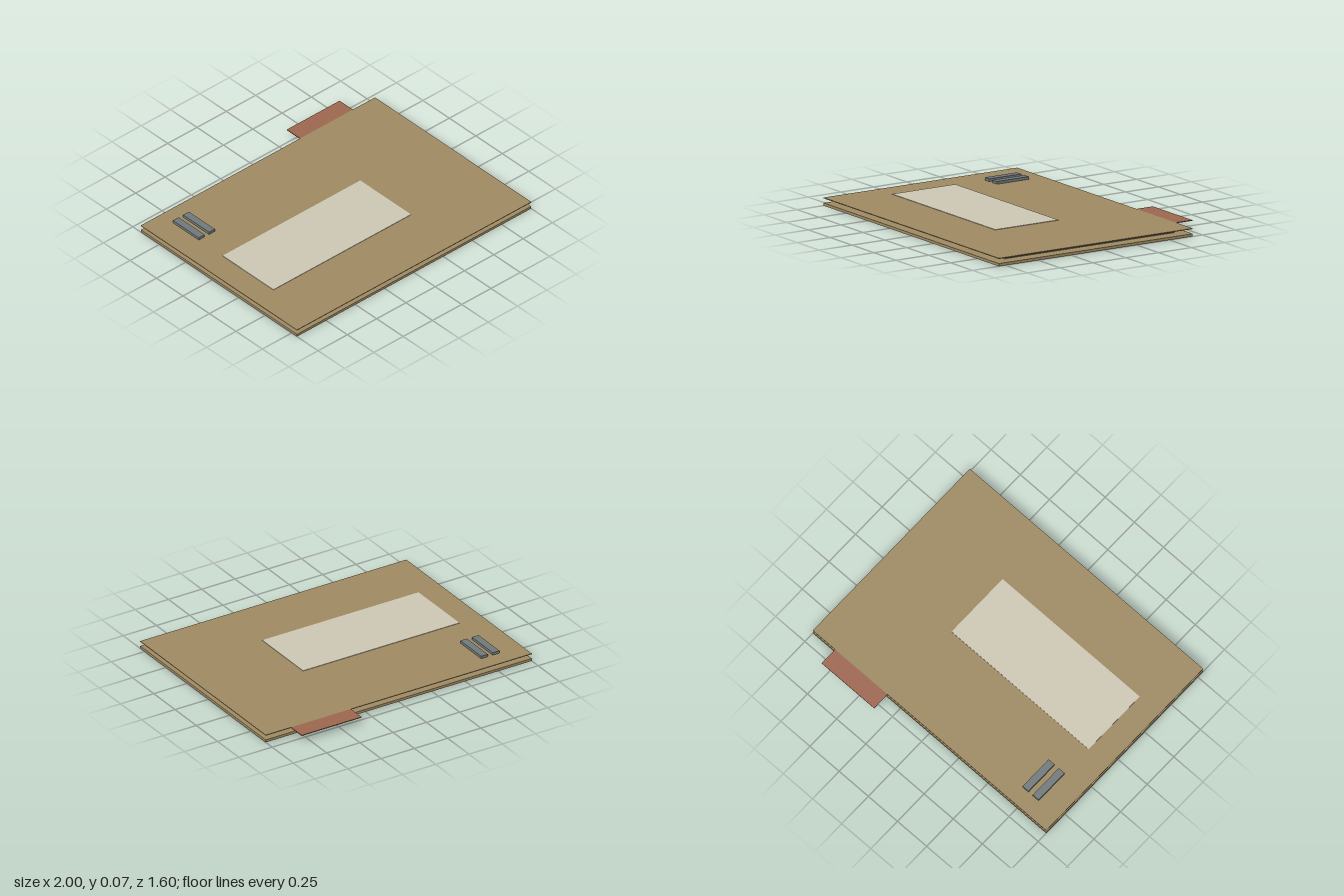
import * as THREE from 'three';

const mat = (name, color) => {
  const m = new THREE.MeshStandardMaterial({ color });
  m.name = name;
  return m;
};

export function createModel() {
  const group = new THREE.Group();
  const card = mat('manila card', 0xa08c64);
  const paper = mat('label paper', 0xcfc9b6);
  const sheetPaper = mat('sheet paper', 0xc8c4b8);
  const red = mat('tab red', 0x9e6750);
  const steel = mat('clip steel', 0x727a7c);

  // Box given by its minimum and maximum corners
  const slab = (name, material, [x0, y0, z0], [x1, y1, z1]) => {
    const mesh = new THREE.Mesh(new THREE.BoxGeometry(x1 - x0, y1 - y0, z1 - z0), material);
    mesh.position.set((x0 + x1) / 2, (y0 + y1) / 2, (z0 + z1) / 2);
    mesh.name = name;
    group.add(mesh);
    return mesh;
  };

  // Folder covers
  slab('backCover', card, [-1, 0, -0.675], [1, 0.018, 0.8]);
  slab('frontCover', card, [-1, 0.048, -0.675], [1, 0.053, 0.8]);

  // Loose sheets, each shifted slightly sideways
  for (let i = 0; i < 4; i++) {
    const y = 0.023 + i * 0.0045;
    const shift = (i % 2) * 0.008;
    slab('sheet' + (i + 1), sheetPaper, [-0.912 + shift, y, -0.58], [0.93 + shift, y + 0.003, 0.71]);
  }

  // Index tab behind the front cover
  slab('indexTab', red, [0.36, 0.048, -0.8], [0.81, 0.053, -0.675]);

  // Label on the front cover
  slab('label', paper, [-0.83, 0.053, -0.09], [0.345, 0.056, 0.39]);

  // Pair of fastener bars
  for (const x of [-0.83, -0.743]) {
    slab('fastenerBar', steel, [x, 0.053, -0.56], [x + 0.05, 0.071, -0.315]);
  }

  return group;
}
